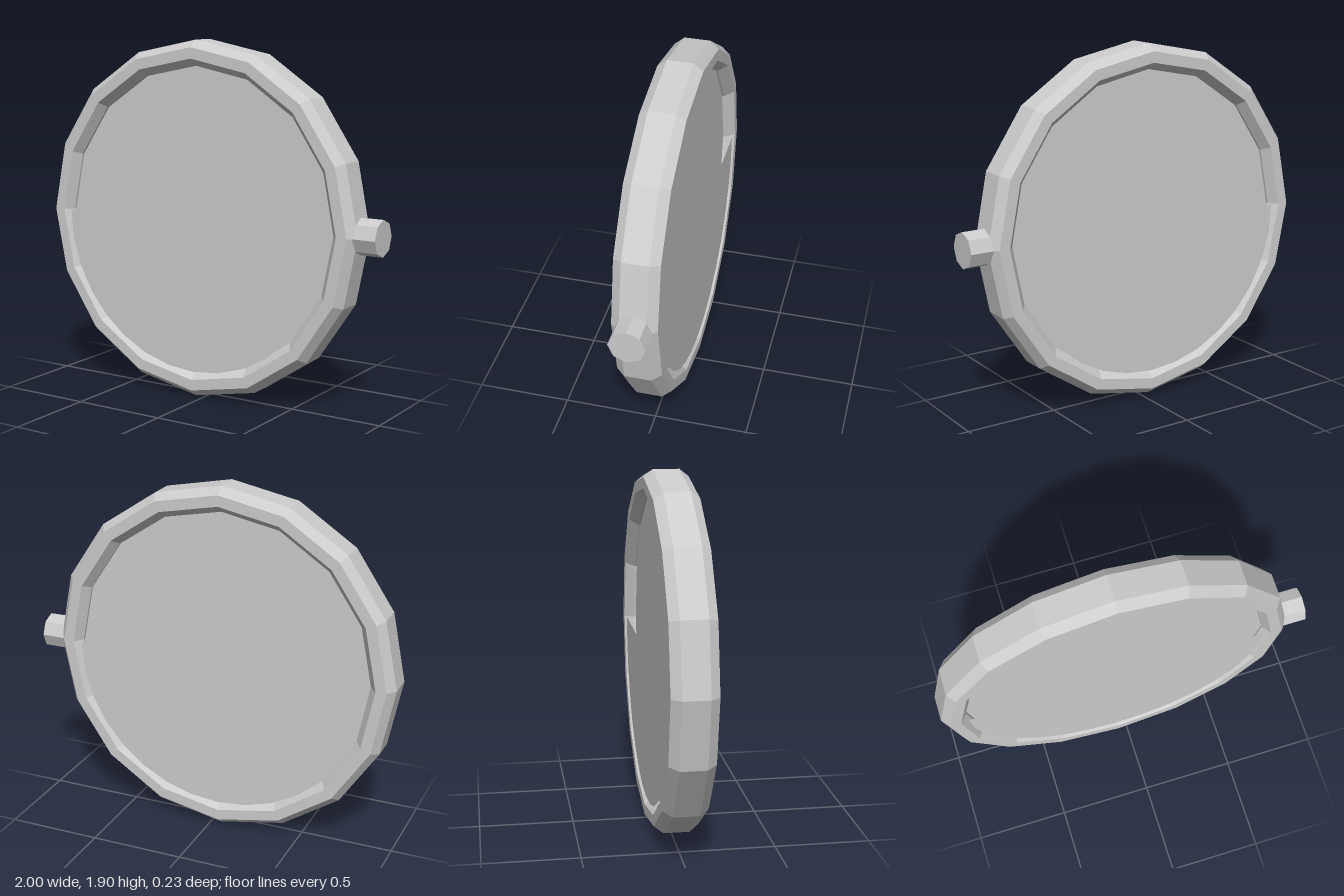
import * as THREE from 'three';

// faceted copy of a geometry: one normal per face
function faceted(geometry) {
  const g = geometry.toNonIndexed();
  g.computeVertexNormals();
  return g;
}

export function createModel() {
  const model = new THREE.Group();
  model.name = 'roundFlask';
  const grey = new THREE.MeshStandardMaterial({ color: 0xcccccc, side: THREE.DoubleSide });
  grey.name = 'light grey';

  const body = new THREE.Group();
  body.name = 'body';
  body.position.set(-0.052, 0.948, 0);
  model.add(body);

  function add(name, geometry) {
    const mesh = new THREE.Mesh(geometry, grey);
    mesh.name = name;
    body.add(mesh);
    return mesh;
  }

  // chamfered sixteen-sided rim
  const profile = [
    [0.948, -0.068], [0.948, 0.068], [0.91, 0.116], [0.852, 0.116],
    [0.814, 0.068], [0.814, -0.068], [0.852, -0.116], [0.91, -0.116], [0.948, -0.068],
  ].map(([r, y]) => new THREE.Vector2(r, y));
  add('rim', faceted(new THREE.LatheGeometry(profile, 16).rotateX(Math.PI / 2)));

  // central plate filling the rim
  add('plate', faceted(new THREE.CylinderGeometry(0.815, 0.815, 0.11, 16).rotateX(Math.PI / 2)));

  // raised half disc and small round spot on both faces
  for (const side of [1, -1]) {
    const turn = side > 0 ? 0 : Math.PI;
    const half = add('halfDisc', new THREE.CircleGeometry(0.808, 16, Math.PI, Math.PI));
    half.position.z = side * 0.108;
    half.rotation.y = turn;

    const spot = add('spot', new THREE.CircleGeometry(0.096, 32));
    spot.position.set(0.385, 0.322, side * 0.072);
    spot.rotation.y = turn;
  }

  // eight-sided knob on the model's left
  const knob = add('knob', faceted(new THREE.CylinderGeometry(0.094, 0.094, 0.18, 8).rotateZ(-Math.PI / 2)));
  knob.position.x = 0.962;

  return model;
}
